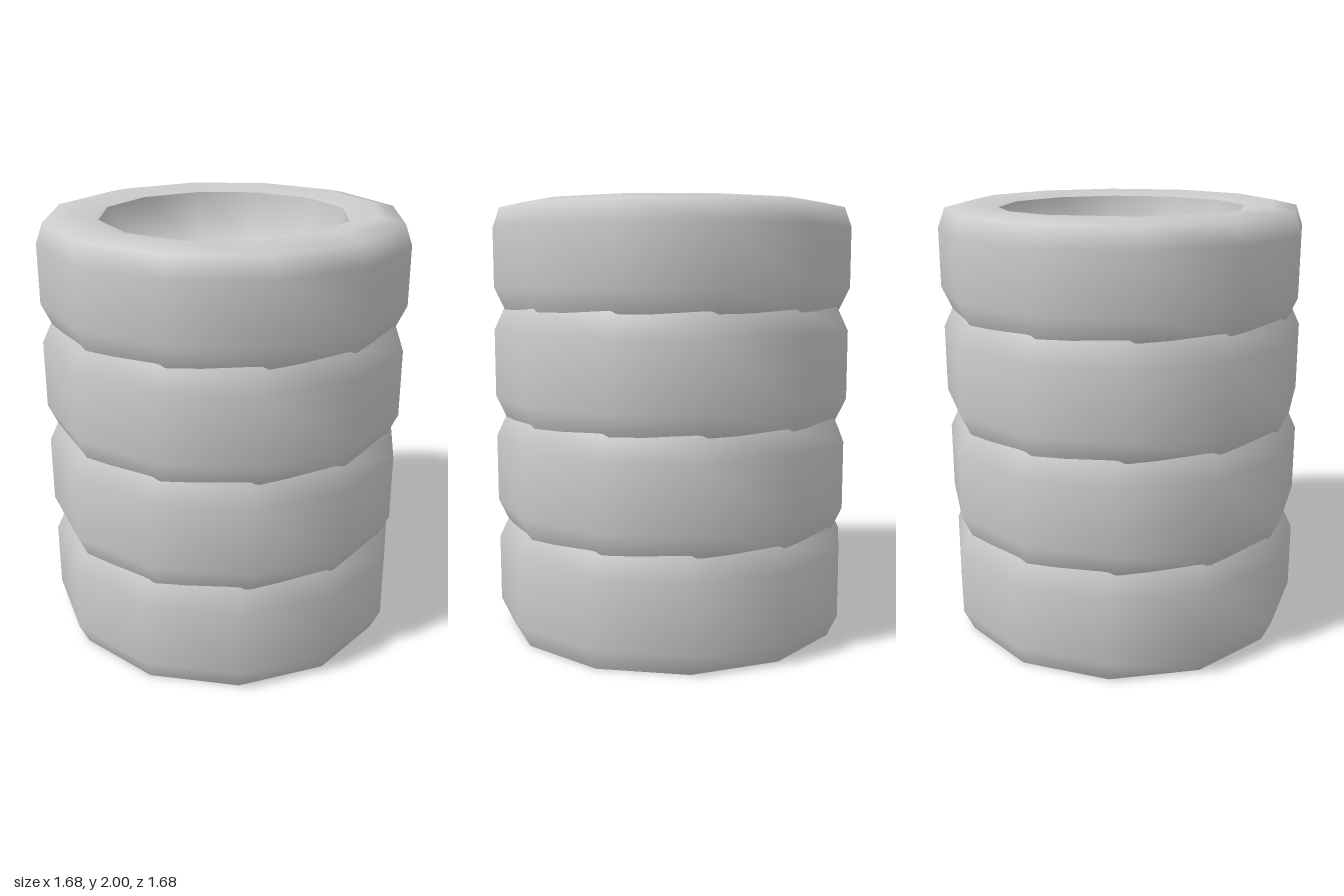
import * as THREE from 'three';

const SIDES = 12;
const PITCH = 0.505;

// Revolve [radius, height] points into a twelve-sided smooth shell
function ring(name, points, y, degrees) {
  const profile = points.map(([r, h]) => new THREE.Vector2(r, h));
  const material = new THREE.MeshStandardMaterial({ color: 0xcccccc, side: THREE.DoubleSide });
  const mesh = new THREE.Mesh(new THREE.LatheGeometry(profile, SIDES), material);
  mesh.name = name;
  mesh.position.y = y;
  mesh.rotation.y = THREE.MathUtils.degToRad(degrees);
  return mesh;
}

export function createModel() {
  const group = new THREE.Group();
  group.name = 'tireStack';

  // Open tread bands, each turned a little further than the one below
  const tread = [[0.795, 0], [0.842, 0.1], [0.842, 0.41], [0.792, 0.517]];
  const names = ['bottomTire', 'lowerMiddleTire', 'upperMiddleTire'];
  names.forEach((name, i) => group.add(ring(name, tread, i * PITCH, 5 + i * 3)));

  // Top tire: tread, rounded shoulder and sidewall down to the lip
  const shoulder = [
    [0.795, 0], [0.842, 0.1], [0.842, 0.37], [0.81, 0.46], [0.7, 0.485], [0.566, 0.46],
  ];
  group.add(ring('topTire', shoulder, 3 * PITCH, 14));

  // Shallow well closing the top opening
  const well = [[0.566, 0.46], [0.535, 0.2], [0, 0.185]];
  group.add(ring('topWell', well, 3 * PITCH, 14));

  return group;
}
